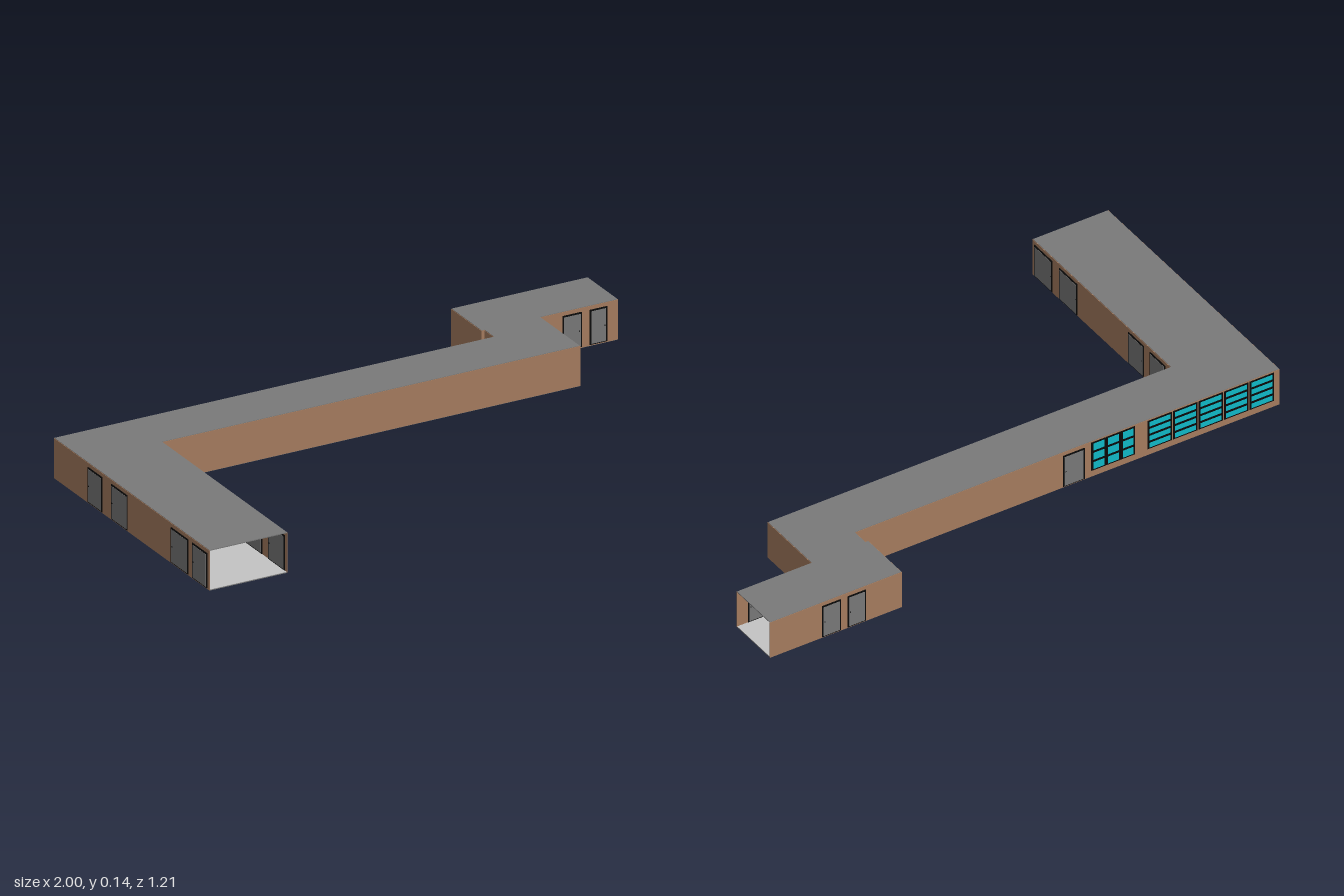
import * as THREE from 'three';

const mat = (name, color) => {
  const m = new THREE.MeshStandardMaterial({ color });
  m.name = name;
  return m;
};

export function createModel() {
  const brown = mat('brown wall', 0xa87e60);
  const grey = mat('grey', 0x7a7a7a);
  const pale = mat('pale floor', 0xc4c4c4);
  const black = mat('black frame', 0x0a0a0a);
  const cyan = mat('cyan glass', 0x10bccb);
  const group = new THREE.Group();
  const H = 0.135;

  // footprint corners as [x, z]; two sides stay open
  const plan = [
    [-0.995, 0.602], [-0.725, 0.602], [-0.725, -0.17], [0.728, -0.17],
    [0.728, -0.415], [0.998, -0.415], [0.998, -0.6], [0.525, -0.6],
    [0.525, -0.415], [0.535, -0.415], [0.535, -0.355], [-0.995, -0.355],
  ];
  const openSides = [0, 5];

  // horizontal slabs following the footprint
  const slab = (name, y, depth, material) => {
    const shape = new THREE.Shape(plan.map(([x, z]) => new THREE.Vector2(x, -z)));
    const geo = new THREE.ExtrudeGeometry(shape, { depth, bevelEnabled: false });
    geo.rotateX(-Math.PI / 2);
    const mesh = new THREE.Mesh(geo, material);
    mesh.name = name;
    mesh.position.y = y;
    group.add(mesh);
  };
  slab('floorSlab', 0, 0.003, grey);
  slab('floorCovering', 0.003, 0.001, pale);
  slab('roof', H - 0.003, 0.003, grey);

  const box = (parent, name, size, pos, material) => {
    const mesh = new THREE.Mesh(new THREE.BoxGeometry(...size), material);
    mesh.name = name;
    mesh.position.set(...pos);
    parent.add(mesh);
  };

  // thin walls between neighbouring corners
  plan.forEach(([x0, z0], i) => {
    if (openSides.includes(i)) return;
    const [x1, z1] = plan[(i + 1) % plan.length];
    box(group, 'wall', [Math.abs(x1 - x0) + 0.003, H - 0.003, Math.abs(z1 - z0) + 0.003],
      [(x0 + x1) / 2, H / 2, (z0 + z1) / 2], brown);
  });

  // a fitting is built facing z, then placed on a wall running along x or z
  const place = (name, axis, wall, a, b) => {
    const g = new THREE.Group();
    g.name = name;
    const mid = (a + b) / 2;
    if (axis === 'x') g.position.set(mid, 0, wall);
    else {
      g.position.set(wall, 0, mid);
      g.rotation.y = Math.PI / 2;
    }
    group.add(g);
    return g;
  };

  // doors show on both sides of the wall
  const door = (axis, wall, a, b) => {
    const g = place('door', axis, wall, a, b);
    const w = b - a;
    box(g, 'doorFrame', [w, 0.116, 0.008], [0, 0.063, 0], black);
    box(g, 'doorPanel', [w - 0.009, 0.108, 0.0096], [0, 0.062, 0], grey);
    box(g, 'doorHandle', [0.004, 0.004, 0.0099], [w / 2 - 0.009, 0.06, 0], black);
  };
  [[0.49, 0.592], [0.35, 0.452], [-0.02, 0.065], [-0.14, -0.055]]
    .forEach(([a, b]) => door('z', -0.725, a, b));
  [[0.5, 0.592], [0.37, 0.475], [0, 0.1], [-0.145, -0.055]]
    .forEach(([a, b]) => door('z', -0.995, a, b));
  [[0.805, 0.872], [0.9, 0.96]].forEach(([a, b]) => door('x', -0.415, a, b));
  [[0.655, 0.72], [0.745, 0.812]].forEach(([a, b]) => door('x', -0.6, a, b));
  door('x', -0.355, -0.292, -0.215);

  // windows: black frame with rows of glass panes
  const windowUnit = (a, b, rows) => {
    const g = place('window', 'x', -0.355, a, b);
    const w = b - a, y0 = 0.025, h = 0.105, step = h / rows;
    box(g, 'windowFrame', [w, h, 0.008], [0, y0 + h / 2, 0], black);
    for (let r = 0; r < rows; r++) {
      box(g, 'glassPane', [w - 0.012, step - 0.009, 0.0096], [0, y0 + (r + 0.5) * step, 0], cyan);
    }
  };
  for (let i = 0; i < 5; i++) windowUnit(-0.975 + i * 0.092, -0.975 + i * 0.092 + 0.088, 4);
  for (let i = 0; i < 3; i++) windowUnit(-0.474 + i * 0.053, -0.474 + i * 0.053 + 0.051, 3);

  return group;
}
